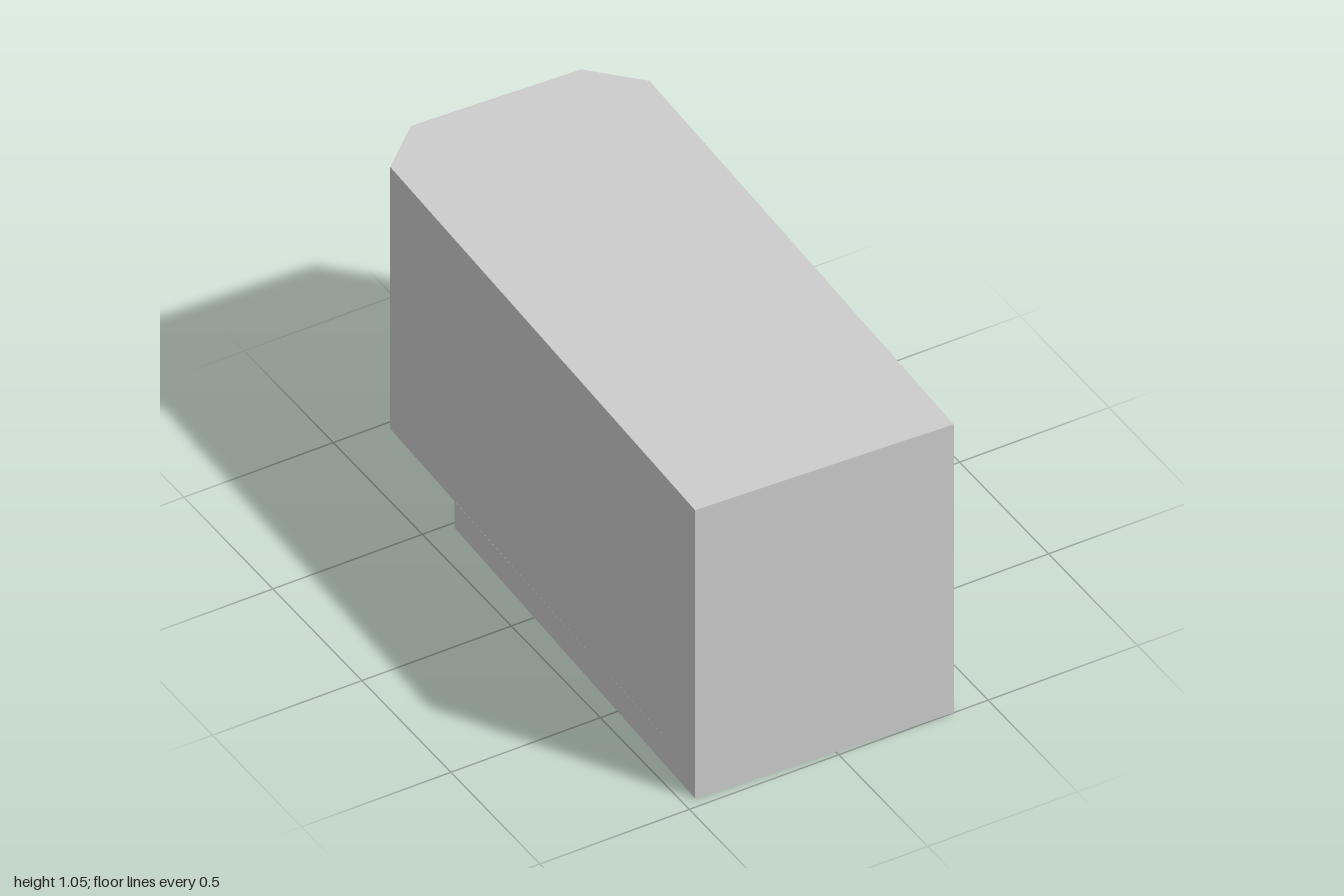
import * as THREE from 'three';

// Upright prism from a plan outline given as [x, z] points
function prism(name, outline, bottom, top, material) {
  const shape = new THREE.Shape(outline.map(([x, z]) => new THREE.Vector2(x, -z)));
  const geometry = new THREE.ExtrudeGeometry(shape, { depth: top - bottom, bevelEnabled: false });
  geometry.rotateX(-Math.PI / 2);
  geometry.translate(0, bottom, 0);
  const mesh = new THREE.Mesh(geometry, material);
  mesh.name = name;
  return mesh;
}

export function createModel() {
  const group = new THREE.Group();
  group.name = 'block';
  const grey = new THREE.MeshStandardMaterial({ color: 0xcccccc });
  grey.name = 'lightGrey';

  const frontLeft = [0.385, 1.0];
  const frontRight = [-0.46, 0.965];
  const stepHeight = 0.097;

  // Main body with two chamfered back corners, slightly turned in plan
  const body = [
    frontRight, frontLeft, [0.457, -0.83], [0.315, -0.977], [-0.24, -1.0], [-0.39, -0.865],
  ];
  group.add(prism('body', body, stepHeight, 1.05, grey));

  // Base under the front part, leaving the back overhanging
  const base = [frontRight, frontLeft, [0.442, -0.445], [-0.405, -0.48]];
  group.add(prism('base', base, 0, stepHeight, grey));

  return group;
}
